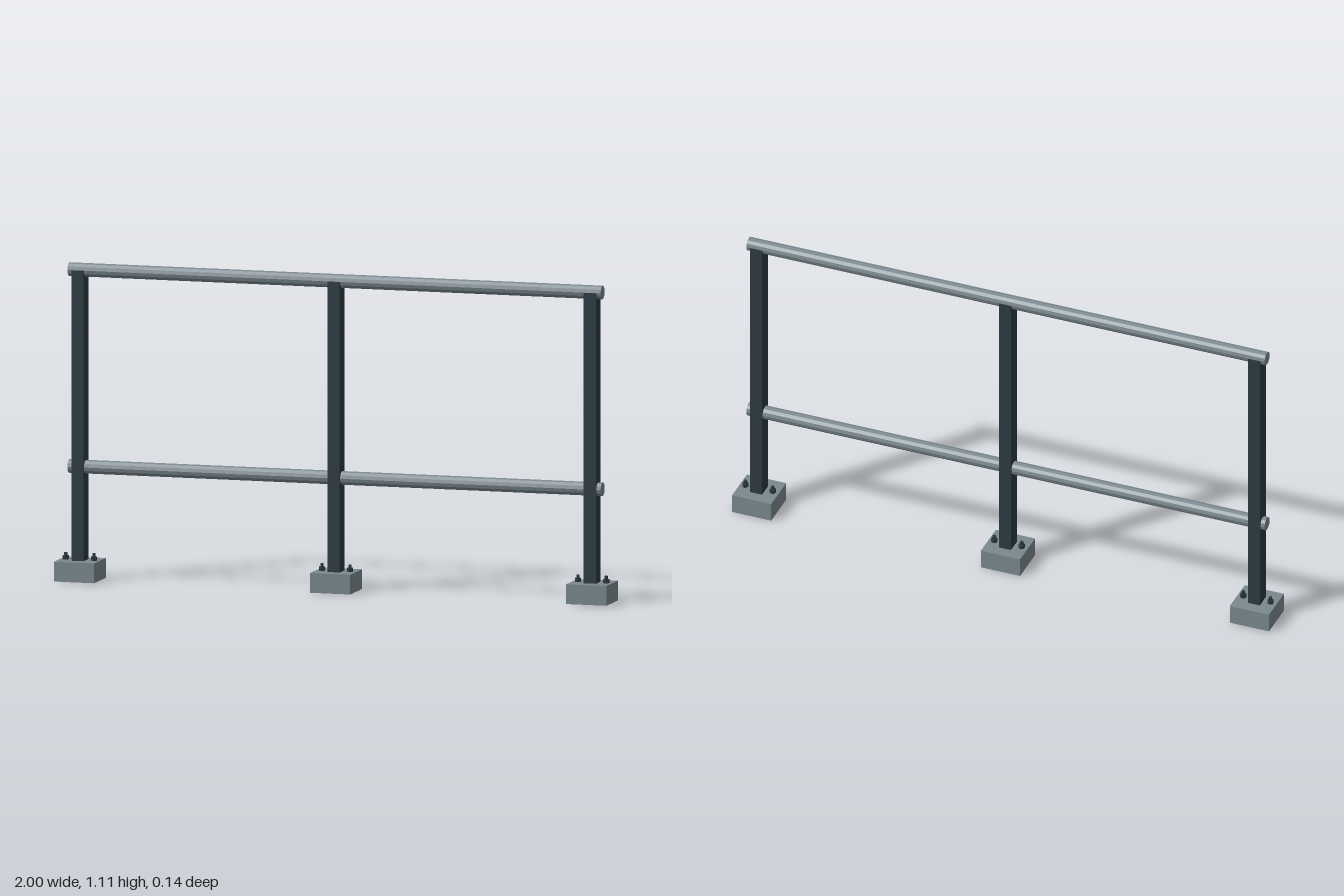
import * as THREE from 'three';

export function createModel() {
  const group = new THREE.Group();
  group.name = 'guardRail';

  const steel = new THREE.MeshStandardMaterial({ color: 0x7b8990, flatShading: true });
  steel.name = 'paleSteel';
  const dark = new THREE.MeshStandardMaterial({ color: 0x2c3b42, flatShading: true });
  dark.name = 'darkSteel';

  const add = (parent, name, geometry, material, x, y, z = 0) => {
    const mesh = new THREE.Mesh(geometry, material);
    mesh.name = name;
    mesh.position.set(x, y, z);
    parent.add(mesh);
    return mesh;
  };

  // Shared shapes
  const postHeight = 1.085;
  const footGeometry = new THREE.BoxGeometry(0.146, 0.069, 0.14);
  const postGeometry = new THREE.BoxGeometry(0.044, postHeight, 0.056);
  const nutGeometry = new THREE.CylinderGeometry(0.011, 0.011, 0.014, 6);
  const studGeometry = new THREE.CylinderGeometry(0.006, 0.006, 0.026, 8);
  const railGeometry = new THREE.CylinderGeometry(0.024, 0.024, 1.93, 12).rotateZ(Math.PI / 2);

  // Three posts, each set through a foot block with a bolt on either side
  for (const x of [-0.927, 0, 0.927]) {
    const support = new THREE.Group();
    support.name = 'support';
    support.position.x = x;
    group.add(support);
    add(support, 'foot', footGeometry, steel, 0, 0.0355);
    add(support, 'post', postGeometry, dark, 0, postHeight / 2);
    for (const side of [-1, 1]) {
      add(support, 'boltNut', nutGeometry, dark, side * 0.051, 0.077);
      add(support, 'boltStud', studGeometry, dark, side * 0.051, 0.082);
    }
  }

  // Handrail on the post tops and the lower rail through the posts
  add(group, 'handrail', railGeometry, steel, 0, 1.085);
  add(group, 'lowerRail', railGeometry, steel, 0, 0.397);

  return group;
}
